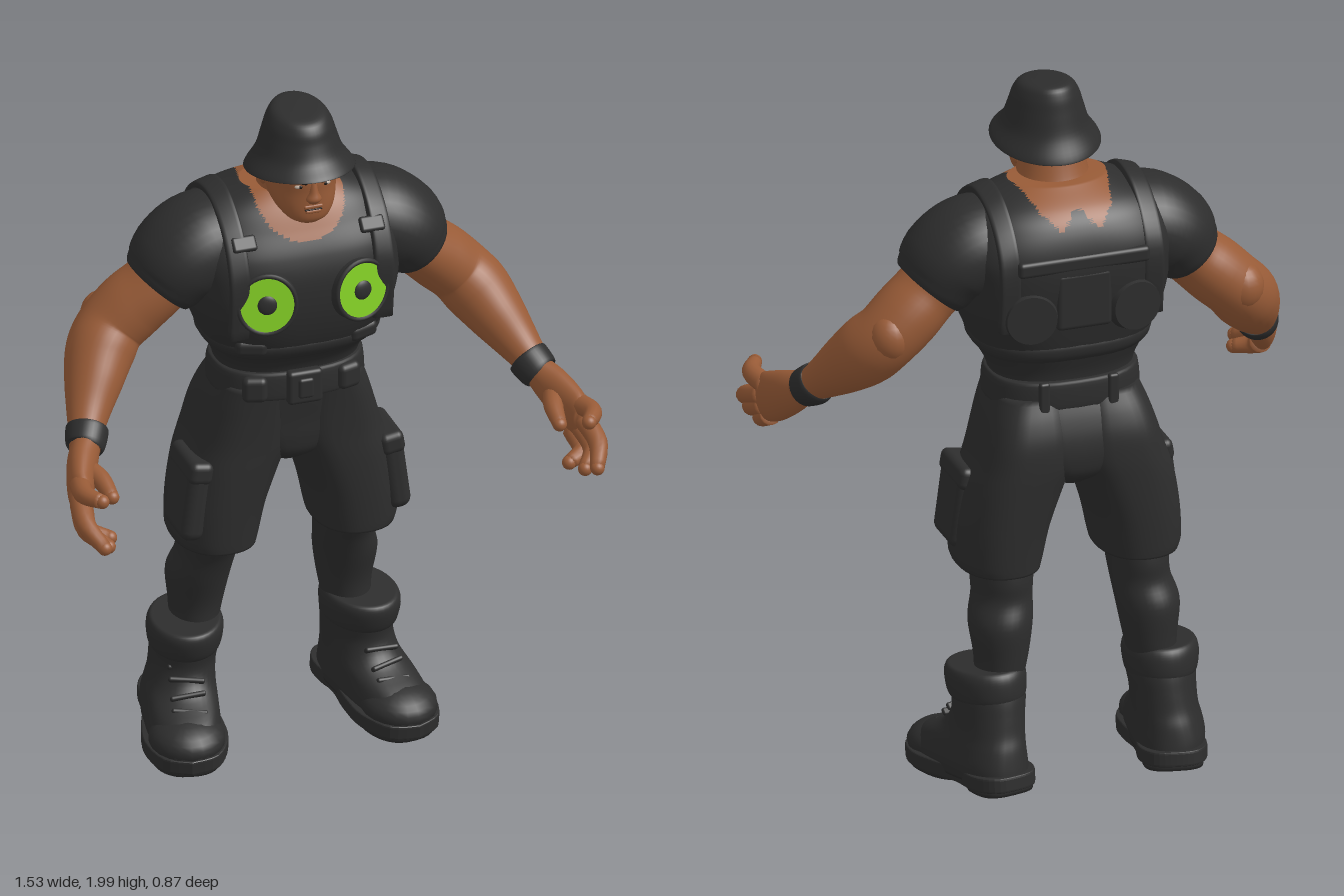
import * as THREE from 'three';
import { RoundedBoxGeometry } from 'three/addons/geometries/RoundedBoxGeometry.js';

const material = (name, color) => Object.assign(new THREE.MeshStandardMaterial({ color }), { name });

export function createModel() {
  const model = new THREE.Group();
  model.name = 'strongMan';
  const black = material('black cloth', 0x2d2d2d);
  const skin = material('skin', 0x985b37);
  const green = material('green', 0x86d326);
  const dark = material('dark brow', 0x1a1412);
  const white = material('eye white', 0xb8a89a);

  const add = (name, geo, mat, parent = model, pos = [0, 0, 0], rot = [0, 0, 0], scale = [1, 1, 1]) => {
    const mesh = new THREE.Mesh(geo, mat);
    mesh.name = name;
    mesh.position.set(...pos);
    mesh.rotation.set(...rot);
    mesh.scale.set(...scale);
    parent.add(mesh);
    return mesh;
  };
  const box = (w, h, d, r = 0.012) => new RoundedBoxGeometry(w, h, d, 3, r);

  // Smooth skin through rings [x, y, z, halfWidth, halfDepth, squareness].
  // Rings lie flat, or square to their path when a ref direction is given.
  function loft(rings, { ref, seg = 36, steps = 5, paint, warp } = {}) {
    const path = new THREE.CatmullRomCurve3(rings.map(r => new THREE.Vector3(r[0], r[1], r[2])), false, 'catmullrom');
    const size = new THREE.CatmullRomCurve3(rings.map(r => new THREE.Vector3(r[3], r[4], r[5] ?? 2)), false, 'catmullrom');
    const n = (rings.length - 1) * steps, pts = [];
    const pw = (c, e) => Math.sign(c) * Math.abs(c) ** (2 / e);
    for (let i = 0; i <= n; i++) {
      const c = path.getPoint(i / n), s = size.getPoint(i / n);
      const T = ref ? path.getTangent(i / n) : new THREE.Vector3(0, 1, 0);
      const U = ref ? new THREE.Vector3(...ref) : new THREE.Vector3(1, 0, 0);
      U.addScaledVector(T, -U.dot(T)).normalize();
      const V = T.clone().cross(U);
      for (let j = 0; j < seg; j++) {
        const a = j / seg * Math.PI * 2;
        pts.push(c.clone().addScaledVector(U, s.x * pw(Math.cos(a), s.z)).addScaledVector(V, s.y * pw(Math.sin(a), s.z)));
      }
    }
    pts.push(path.getPoint(0), path.getPoint(1));
    if (warp) pts.forEach(warp);
    const lists = [[], []];
    const tri = (a, b, c) => {
      const m = pts[a].clone().add(pts[b]).add(pts[c]).divideScalar(3);
      lists[paint && paint(m) ? 1 : 0].push(a, b, c);
    };
    for (let j = 0; j < seg; j++) {
      const k = (j + 1) % seg;
      for (let i = 0; i < n; i++) {
        const p = i * seg, q = p + seg;
        tri(p + j, p + k, q + k);
        tri(p + j, q + k, q + j);
      }
      tri(pts.length - 2, k, j);
      tri(pts.length - 1, n * seg + j, n * seg + k);
    }
    const geo = new THREE.BufferGeometry().setFromPoints(pts);
    geo.setIndex([...lists[0], ...lists[1]]);
    if (paint) {
      geo.addGroup(0, lists[0].length, 0);
      geo.addGroup(lists[0].length, lists[1].length, 1);
    }
    geo.computeVertexNormals();
    return geo;
  }

  // Vest, with the bare neckline and upper back as skin
  const neckline = p => p.z > -0.1
    ? (p.x / 0.128) ** 2 + (Math.min(0, p.y - 1.735) / 0.115) ** 2 < 1
    : p.y > 1.62 && p.z > -0.285 + 0.02 * Math.cos(p.x * 60) && Math.abs(p.x) < 0.105 + 0.25 * Math.max(0, p.z + 0.25);
  add('vest', loft([
    [0, 1.16, -0.13, 0.195, 0.14, 2.4], [0, 1.22, -0.125, 0.208, 0.15, 2.4], [0, 1.3, -0.11, 0.25, 0.19, 2.6],
    [0, 1.4, -0.105, 0.285, 0.215, 3], [0, 1.5, -0.11, 0.3, 0.225, 3], [0, 1.58, -0.118, 0.305, 0.215, 3],
    [0, 1.65, -0.125, 0.285, 0.185, 2.6], [0, 1.7, -0.12, 0.245, 0.15, 2.3], [0, 1.745, -0.1, 0.14, 0.095]
  ], { seg: 120, steps: 14, paint: neckline }), [black, skin]);
  add('vestHem', loft([[0, 1.25, -0.115, 0.215, 0.16, 2.5], [0, 1.275, -0.112, 0.243, 0.186, 2.6],
    [0, 1.3, -0.11, 0.254, 0.195, 2.6], [0, 1.32, -0.11, 0.25, 0.19, 2.6]]), black);
  add('backPanel', box(0.16, 0.17, 0.03, 0.014), black, model, [0, 1.46, -0.322]);
  add('backStrap', box(0.38, 0.045, 0.03), black, model, [0, 1.57, -0.322]);

  // Head, neck and face
  add('neck', loft([[0, 1.6, -0.11, 0.13, 0.12], [0, 1.68, -0.09, 0.12, 0.11], [0, 1.74, -0.07, 0.1, 0.098],
    [0, 1.82, -0.05, 0.09, 0.09]]), skin);
  add('head', loft([[0, 1.685, 0.06, 0.035, 0.03], [0, 1.7, 0.045, 0.06, 0.058, 2.3], [0, 1.73, 0.015, 0.083, 0.093, 2.3],
    [0, 1.78, -0.005, 0.097, 0.115], [0, 1.83, -0.015, 0.1, 0.125], [0, 1.9, -0.02, 0.088, 0.1]]), skin);
  add('nose', loft([[0, 1.755, 0.106, 0.014, 0.012], [0, 1.768, 0.109, 0.022, 0.019], [0, 1.79, 0.106, 0.013, 0.016],
    [0, 1.83, 0.1, 0.01, 0.012]], { seg: 14 }), skin);
  add('upperLip', box(0.055, 0.012, 0.02, 0.005), skin, model, [0, 1.742, 0.101]);
  add('mouth', box(0.05, 0.004, 0.008, 0.0019), dark, model, [0, 1.734, 0.106]);
  add('lowerLip', box(0.045, 0.011, 0.02, 0.005), skin, model, [0, 1.727, 0.1]);

  // Bucket hat: brim dips at the back, crown dips at the front
  add('hat', loft([[0, 1.86, -0.015, 0.1, 0.11], [0, 1.822, -0.01, 0.147, 0.163], [0, 1.83, -0.01, 0.147, 0.163],
    [0, 1.87, -0.012, 0.119, 0.134], [0, 1.92, -0.014, 0.102, 0.117], [0, 1.96, -0.014, 0.088, 0.106],
    [0, 1.985, -0.016, 0.066, 0.085], [0, 1.99, -0.018, 0.02, 0.03]], {
    seg: 48, warp: v => { v.y += v.z * (0.13 - 0.24 * (v.y - 1.82) / 0.17); }
  }), black);

  // Belt and the seat filling between the shorts legs
  add('belt', loft([[0, 1.115, -0.13, 0.205, 0.15, 2.5], [0, 1.125, -0.13, 0.217, 0.16, 2.5],
    [0, 1.19, -0.13, 0.213, 0.158, 2.5], [0, 1.2, -0.13, 0.2, 0.145, 2.5]]), black);
  add('buckle', box(0.1, 0.1, 0.035), black, model, [0, 1.155, 0.03]);
  add('buckleBoss', box(0.045, 0.06, 0.02, 0.009), black, model, [0, 1.155, 0.045]);
  add('shortsSeat', loft([[0, 0.88, -0.165, 0.05, 0.09, 2.4], [0, 0.92, -0.165, 0.1, 0.145, 2.8], [0, 0.97, -0.165, 0.15, 0.16, 3],
    [0, 1.03, -0.16, 0.19, 0.16, 3], [0, 1.09, -0.147, 0.2, 0.155, 2.8], [0, 1.15, -0.13, 0.195, 0.145, 2.4]], { seg: 48 }), black);

  for (const s of [1, -1]) {
    const side = new THREE.Group();
    side.name = s > 0 ? 'leftSide' : 'rightSide';
    model.add(side);
    const put = (name, geo, mat, pos, rot, scale) => add(name, geo, mat, side, pos, rot, scale);
    const flip = rings => rings.map(([x, ...rest]) => [x * s, ...rest]);
    const ball = (r = 1) => new THREE.SphereGeometry(r, 20, 14);

    // Ear, eye and brow
    put('ear', ball(), skin, [0.096 * s, 1.79, -0.035], [0.2, 0, 0], [0.012, 0.03, 0.02]);
    put('eye', ball(), white, [0.038 * s, 1.806, 0.099], [0, 0, 0], [0.014, 0.006, 0.007]);
    put('pupil', ball(), dark, [0.036 * s, 1.806, 0.104], [0, 0, 0], [0.005, 0.005, 0.004]);
    put('brow', box(0.055, 0.014, 0.02, 0.006), dark, [0.042 * s, 1.825, 0.1], [0, 0.3 * s, 0.2 * s]);

    // Shoulder strap over the vest
    const strap = [[1.36, 0.08], [1.5, 0.095], [1.58, 0.08], [1.66, 0.03], [1.715, -0.05], [1.727, -0.12],
      [1.705, -0.2], [1.64, -0.275], [1.55, -0.31], [1.38, -0.295]];
    put('shoulderStrap', loft(strap.map(([y, z]) => [0.208 * s, y, z, 0.029, 0.013, 5]), { ref: [1, -0.3 * s, 0], seg: 24 }), black);
    put('strapPad', box(0.07, 0.045, 0.02, 0.008), black, [0.185 * s, 1.635, 0.06], [-0.75, 0, 0]);
    put('vestPouch', box(0.09, 0.05, 0.04, 0.018), black, [0.16 * s, 1.31, 0.05], [0.15, 0.3 * s, 0]);
    put('beltPouch', box(0.07, 0.075, 0.04, 0.018), black, [0.135 * s, 1.155, 0.008], [0, 0.3 * s, 0]);
    put('backDisc', new THREE.CylinderGeometry(0.07, 0.08, 0.04, 32), black, [0.15 * s, 1.42, -0.315], [-Math.PI / 2, 0, -0.15 * s]);

    // Round chest speaker
    const speaker = new THREE.Group();
    speaker.name = 'speaker';
    speaker.position.set(0.13 * s, 1.465, 0.083);
    speaker.rotation.set(-0.08, 0.22 * s, 0);
    speaker.scale.x = 0.94;
    side.add(speaker);
    const quarter = [Math.PI / 2, 0, 0];
    add('speakerHousing', new THREE.CylinderGeometry(0.09, 0.098, 0.07, 40), black, speaker, [0, 0, 0], quarter);
    add('speakerRim', new THREE.TorusGeometry(0.085, 0.007, 10, 40), black, speaker, [0, 0, 0.035]);
    add('speakerCone', new THREE.RingGeometry(0.02, 0.079, 40), green, speaker, [0, 0, 0.039]);
    add('speakerHub', ball(), black, speaker, [0, 0, 0.036], [0, 0, 0], [0.03, 0.029, 0.011]);

    // Sleeve and arm
    put('sleeve', loft(flip([[0.15, 1.58, -0.12, 0.13, 0.12], [0.24, 1.572, -0.115, 0.155, 0.14], [0.315, 1.535, -0.11, 0.155, 0.132],
      [0.36, 1.483, -0.11, 0.135, 0.112], [0.376, 1.464, -0.11, 0.123, 0.1]]), { ref: [0, 0, 1] }), black);
    put('arm', loft(flip([[0.31, 1.525, -0.12, 0.11, 0.09], [0.385, 1.453, -0.12, 0.106, 0.089], [0.445, 1.4, -0.13, 0.106, 0.094],
      [0.503, 1.345, -0.13, 0.102, 0.092], [0.545, 1.295, -0.098, 0.1, 0.094], [0.585, 1.235, -0.04, 0.084, 0.08],
      [0.62, 1.18, 0.018, 0.062, 0.062], [0.648, 1.135, 0.072, 0.046, 0.047], [0.663, 1.11, 0.11, 0.042, 0.044]]),
    { ref: [0, 0, 1] }), skin);
    put('elbow', ball(), skin, [0.51 * s, 1.36, -0.178], [0, 0, 0], [0.062, 0.07, 0.062]);
    put('wristband', loft(flip([[0.635, 1.148, 0.053, 0.05, 0.05], [0.639, 1.142, 0.06, 0.06, 0.059],
      [0.657, 1.117, 0.097, 0.054, 0.055], [0.661, 1.112, 0.104, 0.045, 0.045]]), { ref: [0, 0, 1] }), black);

    // Hand
    put('palm', loft(flip([[0.65, 1.125, 0.09, 0.044, 0.039], [0.683, 1.087, 0.145, 0.062, 0.042], [0.71, 1.05, 0.21, 0.071, 0.038],
      [0.72, 1.033, 0.255, 0.064, 0.03], [0.723, 1.03, 0.275, 0.04, 0.018]]), { ref: [0, 1, 0] }), skin);
    const fingers = { index: [[0.72, 1.075, 0.23], [0.735, 1.083, 0.31], [0.705, 1.085, 0.37]],
      middle: [[0.724, 1.045, 0.24], [0.74, 1.005, 0.34], [0.713, 0.965, 0.415]],
      ring: [[0.72, 1.015, 0.235], [0.732, 0.978, 0.32], [0.69, 0.95, 0.38]],
      little: [[0.71, 0.99, 0.225], [0.715, 0.958, 0.285], [0.665, 0.944, 0.32]],
      thumb: [[0.68, 1.08, 0.15], [0.655, 1.07, 0.22], [0.648, 1.05, 0.29]] };
    const thick = [0.03, 0.027, 0.02];
    for (const [name, joints] of Object.entries(fingers)) {
      put(name + 'Finger', loft(flip(joints.map((p, i) => [...p, thick[i], thick[i]])), { ref: [0, 1, 0], seg: 14 }), skin);
      put(name + 'Tip', ball(0.02), skin, [joints[2][0] * s, joints[2][1], joints[2][2]]);
    }

    // Shorts leg with cargo pocket
    put('shortsLeg', loft(flip([[0.2, 0.648, -0.165, 0.114, 0.155, 2.3], [0.2, 0.68, -0.165, 0.122, 0.158, 2.3],
      [0.188, 0.77, -0.165, 0.129, 0.163, 2.4], [0.16, 0.88, -0.165, 0.137, 0.167, 2.6], [0.133, 0.96, -0.165, 0.135, 0.168, 2.9],
      [0.122, 1.03, -0.16, 0.124, 0.167, 3], [0.115, 1.09, -0.148, 0.112, 0.16, 2.9], [0.105, 1.15, -0.13, 0.1, 0.148, 2.6]])), black);
    put('cargoPocket', box(0.07, 0.235, 0.17, 0.03), black, [0.288 * s, 0.81, -0.105], [0, 0, 0.13 * s]);
    put('pocketFlap', box(0.07, 0.065, 0.18, 0.02), black, [0.277 * s, 0.9, -0.105], [0, 0, 0.16 * s]);
    put('beltLoop', box(0.03, 0.1, 0.02, 0.008), black, [0.1 * s, 1.155, -0.283]);

    // Lower leg
    put('calf', loft(flip([[0.225, 0.3, -0.25, 0.06, 0.08], [0.216, 0.4, -0.253, 0.074, 0.083], [0.213, 0.5, -0.24, 0.088, 0.1],
      [0.2, 0.57, -0.215, 0.083, 0.1], [0.196, 0.63, -0.2, 0.085, 0.115], [0.19, 0.72, -0.18, 0.09, 0.12]])), black);

    // Boot, turned out with its heel raised
    const boot = new THREE.Group();
    boot.name = 'boot';
    boot.position.set(0.28 * s, 0, -0.195);
    boot.rotation.set(0.1, 0.2 * s, 0, 'YXZ');
    side.add(boot);
    add('bootUpper', loft(flip([[0, 0.06, 0, 0.1, 0.232, 2.7], [0, 0.1, 0, 0.104, 0.23, 2.6], [-0.004, 0.145, -0.025, 0.098, 0.2, 2.4],
      [-0.01, 0.185, -0.07, 0.092, 0.145, 2.2], [-0.015, 0.235, -0.088, 0.092, 0.122], [-0.02, 0.29, -0.085, 0.096, 0.118],
      [-0.022, 0.35, -0.075, 0.09, 0.11]])), black, boot);
    add('bootCuff', loft(flip([[-0.018, 0.27, -0.083, 0.085, 0.105], [-0.018, 0.285, -0.08, 0.1, 0.124], [-0.019, 0.335, -0.075, 0.106, 0.13],
      [-0.02, 0.362, -0.073, 0.098, 0.12], [-0.02, 0.365, -0.073, 0.08, 0.095]])), black, boot);
    add('toeCap', ball(), black, boot, [0, 0.095, 0.125], [0, 0, 0], [0.106, 0.062, 0.112]);
    const outline = new THREE.Shape();
    outline.setFromPoints(new THREE.SplineCurve([[0, 0.24], [0.075, 0.21], [0.113, 0.12], [0.108, 0.02], [0.09, -0.07], [0.092, -0.17],
      [0.06, -0.23], [0, -0.243], [-0.06, -0.23], [-0.092, -0.17], [-0.09, -0.07], [-0.108, 0.02], [-0.113, 0.12], [-0.075, 0.21], [0, 0.24]]
      .map(p => new THREE.Vector2(...p))).getPoints(56).reverse());
    add('sole', new THREE.ExtrudeGeometry(outline, { depth: 0.03, bevelSize: 0.003, bevelThickness: 0.006, bevelSegments: 2 }),
      black, boot, [0, 0.078, 0], [Math.PI / 2, 0, 0]);
    add('heelTread', loft([[0, 0.027, -0.155, 0.082, 0.078, 3], [0, 0.055, -0.155, 0.087, 0.083, 3]], { steps: 2 }), black, boot);
    add('toeTread', loft([[0, 0.027, 0.09, 0.1, 0.135, 2.5], [0, 0.055, 0.09, 0.105, 0.14, 2.5]], { steps: 2 }), black, boot);
    for (let i = 0; i < 4; i++) {
      add('lace', box(0.1, 0.014, 0.022, 0.006), black, boot, [-0.01 * s, 0.16 + i * 0.03, 0.105 - i * 0.034], [-0.8, 0, 0.12 * (i % 2 ? 1 : -1)]);
    }
  }
  return model;
}
